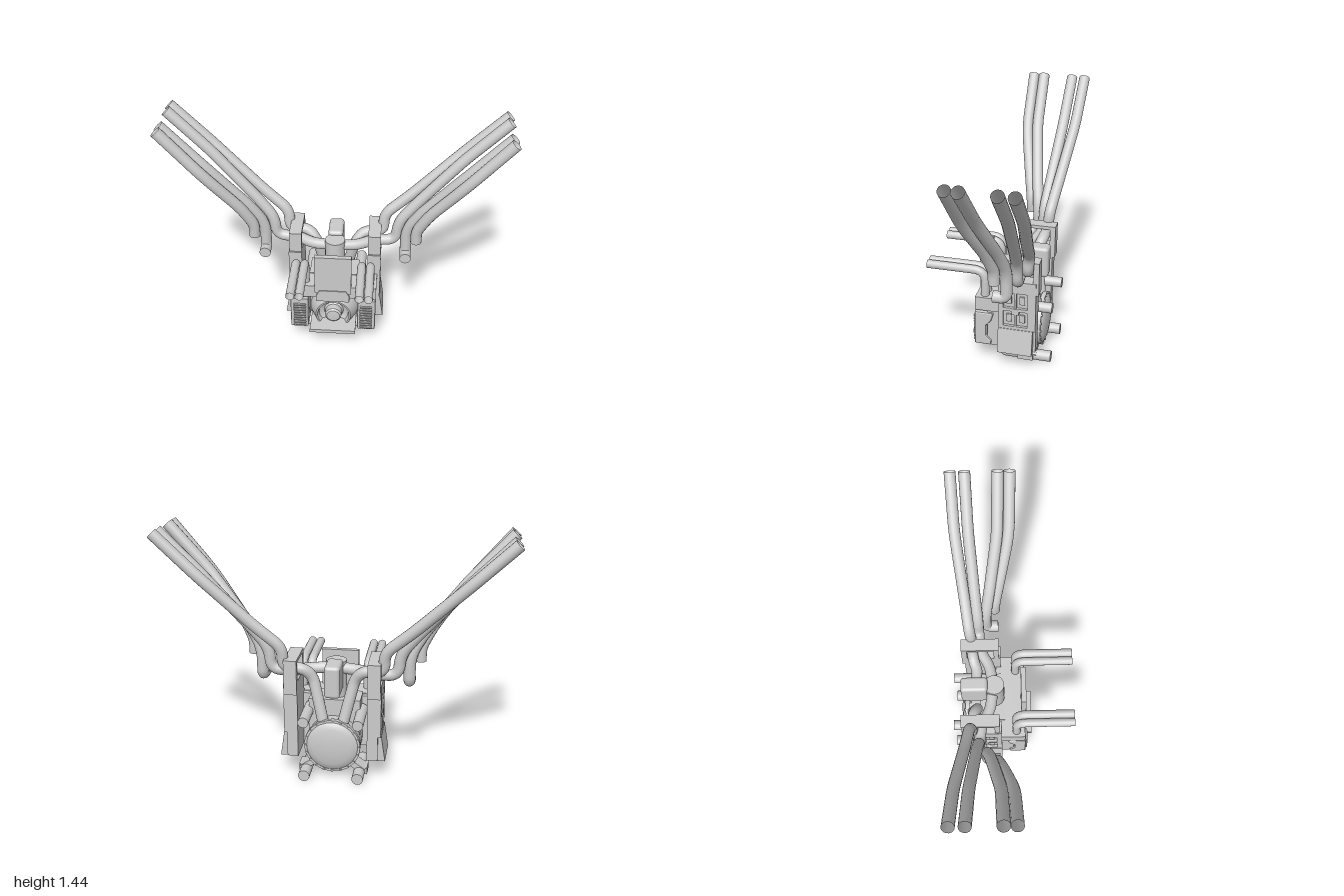
import * as THREE from 'three';
import { RoundedBoxGeometry } from 'three/addons/geometries/RoundedBoxGeometry.js';
import { toCreasedNormals } from 'three/addons/utils/BufferGeometryUtils.js';

const V = (x, y, z) => new THREE.Vector3(x, y, z);

// Polyline path with rounded corners
function roundedPath(points, bend) {
  const path = new THREE.CurvePath();
  let from = points[0];
  for (let i = 1; i < points.length; i++) {
    const p = points[i], prev = points[i - 1], next = points[i + 1];
    if (!next) { path.add(new THREE.LineCurve3(from, p)); break; }
    const r = Math.min(bend, p.distanceTo(prev) * 0.48, p.distanceTo(next) * 0.48);
    const a = p.clone().add(prev.clone().sub(p).setLength(r));
    const b = p.clone().add(next.clone().sub(p).setLength(r));
    path.add(new THREE.LineCurve3(from, a));
    path.add(new THREE.QuadraticBezierCurve3(a, p, b));
    from = b;
  }
  return path;
}

export function createModel() {
  const model = new THREE.Group();
  model.name = 'engine';
  const mat = new THREE.MeshStandardMaterial({ color: 0xcccccc, side: THREE.DoubleSide });

  const add = (name, geo, x = 0, y = 0, z = 0) => {
    const mesh = new THREE.Mesh(geo, mat);
    mesh.name = name;
    mesh.position.set(x, y, z);
    model.add(mesh);
    return mesh;
  };
  // Box given by its extents; a radius rounds the edges
  const box = (name, x0, x1, y0, y1, z0, z1, radius = 0) => {
    const w = Math.abs(x1 - x0), h = y1 - y0, d = z1 - z0;
    const geo = radius ? new RoundedBoxGeometry(w, h, d, 3, radius) : new THREE.BoxGeometry(w, h, d);
    return add(name, geo, (x0 + x1) / 2, (y0 + y1) / 2, (z0 + z1) / 2);
  };
  // Cylinder lying along z
  const rod = (name, x, y, z0, z1, r, sides = 20) =>
    add(name, new THREE.CylinderGeometry(r, r, z1 - z0, sides).rotateX(Math.PI / 2), x, y, (z0 + z1) / 2);
  // Surface of revolution about z, profile as [radius, z] from back to front
  const spin = (name, profile, y) => add(name, toCreasedNormals(
    new THREE.LatheGeometry(profile.map(p => new THREE.Vector2(...p)), 40).rotateX(Math.PI / 2), 0.6), 0, y, 0);
  // Outline in (-z, y) extruded along x, centred on x
  const sidePlate = (name, shape, x, depth, bevel = 0) => {
    const geo = new THREE.ExtrudeGeometry(shape, {
      depth: depth - 2 * bevel, bevelEnabled: bevel > 0, bevelSize: bevel, bevelOffset: -bevel,
      bevelThickness: bevel, bevelSegments: 2 });
    geo.translate(0, 0, -(depth - 2 * bevel) / 2).rotateY(Math.PI / 2);
    return add(name, geo, x);
  };
  const shapeOf = pts => new THREE.Shape(pts.map(p => new THREE.Vector2(...p)));
  const rect = (x0, x1, y0, y1) => shapeOf([[x0, y0], [x1, y0], [x1, y1], [x0, y1]]);
  // Bent pipe, closed at the start if asked
  const pipe = (name, pts, s, r, bend, capped = false) => {
    const points = pts.map(([x, y, z]) => V(x * s, y, z));
    add(name, new THREE.TubeGeometry(roundedPath(points, bend), 72, r, 16), 0, 0, 0);
    if (!capped) return;
    const cap = add(name + 'Cap', new THREE.CircleGeometry(r, 16));
    cap.position.copy(points[0]);
    cap.lookAt(points[0].clone().multiplyScalar(2).sub(points[1]));
  };

  // Central drum, front intake and rear dome
  spin('drum', [[0.155, -0.29], [0.155, -0.08], [0.148, -0.05], [0.13, -0.01], [0.115, 0.02], [0.108, 0.04],
    [0.098, 0.04], [0.09, 0.01], [0.06, -0.01], [0.052, 0.0], [0.05, 0.04], [0.04, 0.05], [0, 0.055]], 0.195);
  spin('rearDome', [[0, -0.322], [0.06, -0.319], [0.11, -0.312], [0.14, -0.302], [0.148, -0.295],
    [0.162, -0.295], [0.162, -0.27], [0.155, -0.27]], 0.2);
  for (let i = 0; i < 20; i++) {
    const a = i / 20 * Math.PI * 2;
    rod('domeBolt', Math.cos(a) * 0.156, 0.2 + Math.sin(a) * 0.156, -0.302, -0.26, 0.007, 6);
  }

  // Engine block, front crossbar, shield and skid plate
  box('block', -0.15, 0.15, 0.15, 0.45, -0.2, -0.05);
  box('backPlate', -0.2, 0.2, 0.12, 0.44, -0.1, -0.07);
  box('crossbar', -0.26, 0.26, 0.36, 0.445, -0.07, 0.072);
  box('frontShield', -0.11, 0.11, 0.4, 0.665, 0.05, 0.08);
  const lip = shapeOf([[-0.1, 0.34], [0.1, 0.34], [0.1, 0.38], [0.08, 0.42], [-0.08, 0.42], [-0.1, 0.38]]);
  add('shieldLip', new THREE.ExtrudeGeometry(lip, { depth: 0.02, bevelEnabled: false }), 0, 0, 0.065);
  box('skidPlate', -0.14, 0.14, 0.115, 0.138, -0.07, 0.12);

  // Intake canister and rear air box
  add('canister', new THREE.CylinderGeometry(0.06, 0.06, 0.225, 24), 0, 0.553, -0.11);
  box('airBox', -0.045, 0.045, 0.5, 0.69, -0.31, -0.15, 0.02);

  for (const s of [1, -1]) {
    const bx = (name, x0, x1, ...rest) => box(name, x0 * s, x1 * s, ...rest);

    // Four long swept exhausts
    pipe('exhaustFront', [[0.483, 0.68, -0.1], [0.483, 0.76, -0.098], [0.55, 0.89, -0.07],
      [0.74, 1.14, -0.005], [0.975, 1.42, 0.004]], s, 0.033, 0.1, true);
    pipe('exhaustFrontInner', [[0.425, 0.565, -0.08], [0.425, 0.565, -0.155], [0.425, 0.73, -0.155],
      [0.5, 0.86, -0.13], [0.74, 1.16, -0.072], [0.975, 1.42, -0.062]], s, 0.034, 0.07, true);
    pipe('exhaustRearInner', [[0.03, 0.62, -0.12], [0.14, 0.615, -0.135], [0.23, 0.62, -0.19], [0.365, 0.62, -0.2],
      [0.375, 0.75, -0.2], [0.46, 0.86, -0.21], [0.74, 1.18, -0.237], [0.975, 1.42, -0.245]], s, 0.033, 0.07);
    pipe('exhaustRear', [[0.06, 0.34, -0.25], [0.12, 0.59, -0.21], [0.17, 0.65, -0.235], [0.29, 0.65, -0.24],
      [0.288, 0.77, -0.25], [0.45, 0.91, -0.272], [0.74, 1.19, -0.315], [0.975, 1.42, -0.325]], s, 0.033, 0.07);

    // Short forward exhaust pair
    for (const x of [0.169, 0.221])
      pipe('forwardExhaust', [[x, 0.43, 0.02], [x, 0.602, 0.02], [x, 0.602, 0.365]], s, 0.025, 0.07);

    // Side wall with windowed frame, flared skirt and top arch
    bx('sideWall', 0.2, 0.262, 0.12, 0.585, -0.29, -0.07);
    const frame = rect(0.07, 0.29, 0.27, 0.585);
    for (const u of [0.1, 0.177])
      for (const y of [0.29, 0.41])
        frame.holes.push(rect(u, u + 0.065, y, y + 0.1));
    sidePlate('windowFrame', frame, s * 0.27, 0.018);
    bx('frameBoss', 0.26, 0.284, 0.37, 0.41, -0.192, -0.15);
    for (const z of [-0.132, -0.21])
      for (const y of [0.34, 0.46])
        bx('windowRib', 0.255, 0.271, y - 0.025, y + 0.025, z - 0.015, z + 0.015);
    const skirt = shapeOf([[0.2 * s, 0.115], [0.305 * s, 0.115], [0.282 * s, 0.27], [0.2 * s, 0.27]]);
    add('skirt', new THREE.ExtrudeGeometry(skirt, { depth: 0.205, bevelEnabled: false }), 0, 0, -0.275);
    bx('archTop', 0.2, 0.275, 0.695, 0.715, -0.305, -0.08);
    bx('archFrontPost', 0.2, 0.275, 0.58, 0.715, -0.11, -0.08);
    bx('archBackPost', 0.2, 0.275, 0.51, 0.715, -0.305, -0.272);

    // Front cooler with cooling ribs and notched rear edge
    const cooler = shapeOf([[-0.077, 0.125], [0.02, 0.125], [0.024, 0.155], [-0.008, 0.19], [-0.008, 0.255],
      [0.022, 0.29], [0.038, 0.345], [-0.077, 0.345]]);
    sidePlate('cooler', cooler, s * 0.205, 0.11, 0.01);
    bx('coolerBack', 0.15, 0.25, 0.125, 0.36, -0.07, 0);
    for (let i = 0; i < 9; i++)
      bx('coolerRib', 0.165, 0.24, 0.137 + i * 0.02, 0.148 + i * 0.02, 0.07, 0.088, 0.004);

    // Lower rail with rounded nose, strut and clamp
    rod('lowerRail', s * 0.155, 0.033, -0.365, -0.09, 0.033);
    add('railNose', new THREE.SphereGeometry(0.033, 20, 12), s * 0.155, 0.033, -0.09);
    bx('railClamp', 0.15, 0.2, 0.015, 0.056, -0.262, -0.172);
    const strut = box('railStrut', s * 0.1, s * 0.2, 0.05, 0.085, -0.28, -0.185);
    strut.rotation.z = -s * 0.6;
    strut.position.x = s * 0.14;

    // Upper rear rod
    rod('rearRod', s * 0.155, 0.37, -0.365, -0.12, 0.031);
  }
  return model;
}
